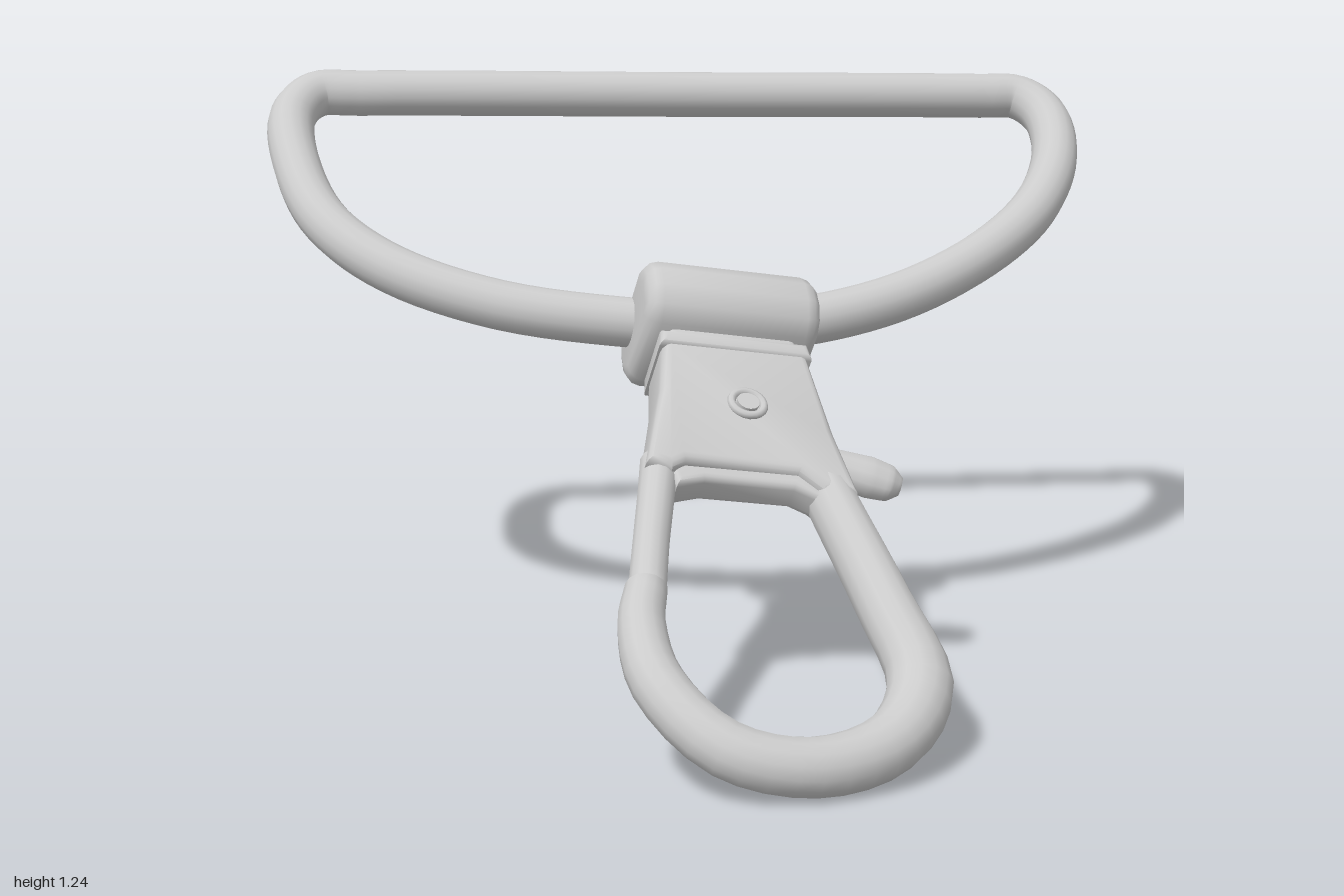
import * as THREE from 'three';
import { toCreasedNormals } from 'three/addons/utils/BufferGeometryUtils.js';

const material = new THREE.MeshStandardMaterial({ color: 0xcccccc });

function add(parent, name, geometry, x = 0, y = 0, z = 0) {
  const mesh = new THREE.Mesh(geometry, material);
  mesh.name = name;
  mesh.position.set(x, y, z);
  parent.add(mesh);
  return mesh;
}

// Sweeps an oval section along a flat path of [x, y, halfWidth, halfDepth]
function sweep(path, closed, steps, sides) {
  const centre = new THREE.CatmullRomCurve3(path.map(p => new THREE.Vector3(p[0], p[1], 0)), closed);
  const spans = closed ? path.length : path.length - 1;
  const count = spans * steps;
  const positions = [], indices = [];
  const ring = (k, size) => {
    const t = k / count;
    const c = centre.getPoint(t), d = centre.getTangent(t);
    const i = Math.min(Math.floor(t * spans), spans - 1), f = t * spans - i;
    const a = path[i], b = path[(i + 1) % path.length];
    const w = THREE.MathUtils.lerp(a[2], b[2], f) * size;
    const h = THREE.MathUtils.lerp(a[3], b[3], f) * size;
    for (let j = 0; j < sides; j++) {
      const q = (j / sides) * Math.PI * 2;
      positions.push(c.x - d.y * Math.cos(q) * w, c.y + d.x * Math.cos(q) * w, Math.sin(q) * h);
    }
  };
  if (!closed) { ring(0, 0); ring(0, 0.9); }
  for (let k = 0; k <= count; k++) ring(k, 1);
  if (!closed) { ring(count, 0.9); ring(count, 0); }
  const rings = positions.length / 3 / sides;
  for (let i = 0; i < rings - 1; i++) {
    for (let j = 0; j < sides; j++) {
      const n = (j + 1) % sides;
      const a = i * sides + j, b = i * sides + n, c = a + sides, d = b + sides;
      indices.push(a, b, c, b, d, c);
    }
  }
  const g = new THREE.BufferGeometry();
  g.setAttribute('position', new THREE.Float32BufferAttribute(positions, 3));
  g.setIndex(indices);
  g.computeVertexNormals();
  return g;
}

// Bevelled plate, centred on its depth; the bevel stays inside the outline
function plate(points, depth, bevel) {
  const shape = new THREE.Shape(points.map(p => new THREE.Vector2(p[0], p[1])));
  const g = new THREE.ExtrudeGeometry(shape, {
    depth: depth - 2 * bevel, bevelThickness: bevel, bevelSize: bevel, bevelOffset: -bevel, bevelSegments: 3,
  });
  return toCreasedNormals(g.translate(0, 0, bevel - depth / 2), 0.8);
}

const mirrored = half => [...half, ...half.slice().reverse().map(p => [-p[0], p[1]])];

export function createModel() {
  const model = new THREE.Group();
  model.name = 'swivelSnapHook';

  // Built flat in x/y, then tilted as a whole
  const clasp = new THREE.Group();
  clasp.name = 'clasp';
  model.add(clasp);

  // D-shaped strap ring, slightly fuller on one side
  const ringPath = [[0, 0.022], [0.183, 0.036], [0.416, 0.113], [0.638, 0.255], [0.805, 0.428], [0.901, 0.631],
    [0.91, 0.79], [0.858, 0.862], [0.76, 0.867], [0, 0.867], [-0.77, 0.867], [-0.872, 0.862], [-0.928, 0.775],
    [-0.912, 0.56], [-0.847, 0.375], [-0.708, 0.22], [-0.475, 0.098], [-0.183, 0.036]];
  add(clasp, 'strapRing', sweep(ringPath.map(p => [...p, 0.055, 0.055]), true, 6, 16));

  // The hook is twisted a little about its long axis against the ring
  const hook = new THREE.Group();
  hook.name = 'hook';
  hook.rotation.y = 0.15;
  clasp.add(hook);

  // Swivel block around the ring, with its rivet head
  const blockProfile = mirrored([[0.085, -0.085], [0.122, -0.062], [0.142, -0.02], [0.142, 0.03], [0.12, 0.075], [0.08, 0.1]]);
  add(hook, 'swivelBlock', plate(blockProfile, 0.39, 0.035).rotateY(Math.PI / 2));
  const head = [[0.076, -0.03], [0.076, 0.014], [0.068, 0.026], [0.045, 0.034], [0, 0.037]];
  add(hook, 'swivelRivet', new THREE.LatheGeometry(head.map(p => new THREE.Vector2(...p)), 24), 0, 0.098, 0);

  // Collar between block and hook
  add(hook, 'collar', plate(mirrored([[0.145, -0.16], [0.145, -0.05]]), 0.145, 0.02));
  add(hook, 'collarLip', plate(mirrored([[0.168, -0.14], [0.163, -0.098]]), 0.17, 0.015));

  // Hook body, thicker towards the collar
  const body = plate([[-0.16, -0.12], [-0.178, -0.26], [-0.222, -0.46], [-0.17, -0.475], [-0.14, -0.455],
    [0.1, -0.455], [0.145, -0.5], [0.22, -0.5], [0.19, -0.34], [0.16, -0.12]], 0.11, 0.02);
  const pos = body.attributes.position;
  for (let i = 0; i < pos.count; i++) {
    const k = THREE.MathUtils.clamp((pos.getY(i) + 0.44) / 0.32, 0, 1);
    pos.setZ(i, pos.getZ(i) * (1 + 0.45 * k));
  }
  add(hook, 'hookBody', toCreasedNormals(body, 0.8));
  add(hook, 'gateHinge', plate([[-0.18, -0.4], [-0.16, -0.505], [-0.1, -0.485], [0.09, -0.485], [0.16, -0.52], [0.17, -0.4]], 0.07, 0.015));

  // Curved hook arm and the slimmer gate that closes it
  add(hook, 'hookArm', sweep([[0.14, -0.33, 0.045, 0.052], [0.18, -0.5, 0.053, 0.059], [0.242, -0.76, 0.058, 0.06],
    [0.278, -0.955, 0.066, 0.06], [0.195, -1.1, 0.06, 0.058], [0.03, -1.172, 0.057, 0.056],
    [-0.135, -1.142, 0.056, 0.054], [-0.247, -1.0, 0.053, 0.052], [-0.264, -0.86, 0.047, 0.047],
    [-0.245, -0.765, 0.042, 0.043]], false, 4, 14));
  add(hook, 'gate', sweep([[-0.245, -0.78, 0.038, 0.039], [-0.222, -0.64, 0.037, 0.038],
    [-0.2, -0.52, 0.038, 0.04], [-0.182, -0.42, 0.04, 0.045]], false, 4, 14));

  // Thumb lever at the side
  add(hook, 'thumbLever', sweep([[0.08, -0.325, 0.04, 0.032], [0.2, -0.36, 0.042, 0.035], [0.28, -0.384, 0.05, 0.04],
    [0.325, -0.397, 0.044, 0.034], [0.348, -0.404, 0.022, 0.018]], false, 4, 12), 0, 0, -0.02);

  // Hinge pin showing on the front face
  add(hook, 'hingePin', new THREE.CylinderGeometry(0.024, 0.024, 0.02, 16).rotateX(Math.PI / 2), 0.006, -0.289, 0.066);
  add(hook, 'pinRim', new THREE.TorusGeometry(0.035, 0.009, 8, 20), 0.006, -0.289, 0.068);

  // Tilt into the resting pose
  const across = new THREE.Vector3(0.969, -0.013, -0.247).normalize();
  const normal = new THREE.Vector3(0.145, 0.84, 0.524);
  normal.addScaledVector(across, -normal.dot(across)).normalize();
  const up = new THREE.Vector3().crossVectors(normal, across);
  clasp.quaternion.setFromRotationMatrix(new THREE.Matrix4().makeBasis(across, up, normal));
  clasp.position.set(0.15, 0.705, -0.03);
  return model;
}
